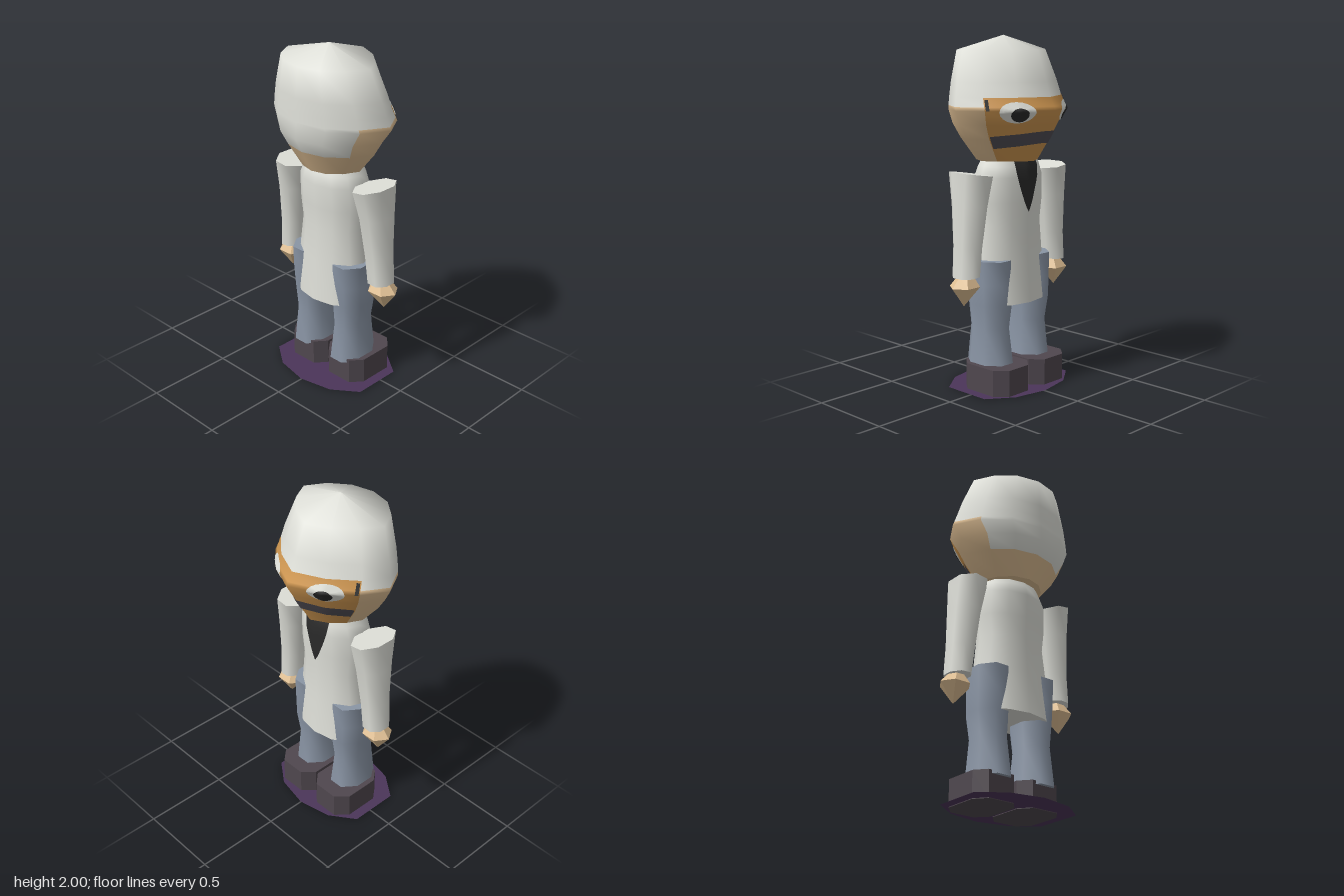
import * as THREE from 'three';

const mat = (name, color) => {
  const m = new THREE.MeshStandardMaterial({ color });
  m.name = name;
  return m;
};

// Unit cross-sections, running from the face side (-z) over +x to the back (+z)
const polygon = (n, phase = 0) => Array.from({ length: n }, (_, i) => {
  const a = ((i + phase) / n) * Math.PI * 2;
  const k = phase ? 1 / Math.cos(Math.PI / n) : 1;
  return [Math.sin(a) * k, -Math.cos(a) * k];
});
const half = [[0, -1], [0.44, -0.74], [0.8, -0.34], [1, 0.09], [0.79, 0.55], [0.44, 0.88], [0, 1]];
const headSection = [...half, ...half.slice(1, 6).reverse().map(([x, z]) => [-x, z])];
const shoeSection = [[0.55, -1], [1, -0.6], [1, 0.6], [0.6, 1], [-0.6, 1], [-1, 0.6], [-1, -0.6], [-0.55, -1]];

// Ring: [y, centre x, half width, front z, back z, tilt]
const ringPoint = ([y, cx, rx, zf, zb, tilt = 0], [sx, sz]) =>
  [cx + sx * rx, y + sx * rx * tilt, (zf + zb) / 2 + (sz * (zb - zf)) / 2];

// Closed skin through the rings; colourOf(side, row) picks the material slot
function loft(rings, section, { colourOf = () => 0, slots = 1, flat = false } = {}) {
  const n = section.length, pos = [], faces = Array.from({ length: slots }, () => []);
  rings.forEach(r => section.forEach(s => pos.push(...ringPoint(r, s))));
  for (let j = 0; j < rings.length - 1; j++) for (let i = 0; i < n; i++) {
    const a = j * n + i, b = j * n + (i + 1) % n;
    faces[colourOf(i, j)].push(a, a + n, b + n, a, b + n, b);
  }
  [[rings[0], 0], [rings[rings.length - 1], 1]].forEach(([r, top]) => {
    const c = pos.length / 3;
    pos.push(...ringPoint(r, [0, 0]));
    section.forEach(s => pos.push(...ringPoint(r, s)));
    for (let i = 0; i < n; i++) {
      const p = c + 1 + i, q = c + 1 + (i + 1) % n;
      faces[0].push(c, ...(top ? [q, p] : [p, q]));
    }
  });
  let geo = new THREE.BufferGeometry();
  geo.setAttribute('position', new THREE.Float32BufferAttribute(pos, 3));
  geo.setIndex(faces.flat());
  if (slots > 1) {
    let start = 0;
    faces.forEach((f, k) => { geo.addGroup(start, f.length, k); start += f.length; });
  }
  if (flat) geo = geo.toNonIndexed();
  geo.computeVertexNormals();
  return geo;
}

// Point on a lofted skin at side position u and height y, lifted outward
function onSkin(rings, section, u, y, lift) {
  const n = section.length, w = ((u % n) + n) % n, i = Math.floor(w), f = w - i;
  const s = section[i].map((v, k) => v + (section[(i + 1) % n][k] - v) * f);
  let j = 0;
  while (j < rings.length - 2 && rings[j + 1][0] < y) j++;
  const t = (y - rings[j][0]) / (rings[j + 1][0] - rings[j][0]);
  const r = rings[j].slice(0, 5).map((v, k) => v + (rings[j + 1][k] - v) * t);
  const [x, , z] = ringPoint(r, s), len = Math.hypot(...s);
  return [x + (s[0] / len) * lift, y, z + (s[1] / len) * lift];
}

// Painted patch: map(a, b) with a, b in 0..1 gives [u, y] on the skin
function patch(rings, section, lift, na, nb, map) {
  const pos = [], idx = [];
  for (let j = 0; j <= nb; j++) for (let i = 0; i <= na; i++)
    pos.push(...onSkin(rings, section, ...map(i / na, j / nb), lift));
  for (let j = 0; j < nb; j++) for (let i = 0; i < na; i++) {
    const a = j * (na + 1) + i, d = a + na + 1;
    idx.push(a, d, d + 1, a, d + 1, a + 1);
  }
  const geo = new THREE.BufferGeometry();
  geo.setAttribute('position', new THREE.Float32BufferAttribute(pos, 3));
  geo.setIndex(idx);
  geo.computeVertexNormals();
  return geo;
}

export function createModel() {
  const white = mat('white', 0xdedfd8), skin = mat('skin', 0xdfbf94), tan = mat('face tan', 0xce9650);
  const blue = mat('trouser blue', 0x8a95a5), shoe = mat('shoe grey', 0x4f474e);
  const black = mat('black', 0x2a2a2a), grey = mat('moustache grey', 0x504d54), purple = mat('base purple', 0x4b3559);
  [white, black, grey, purple].forEach(m => { m.side = THREE.DoubleSide; });

  const model = new THREE.Group();
  const add = (name, geo, material) => {
    const m = new THREE.Mesh(geo, material);
    m.name = name;
    model.add(m);
    return m;
  };

  // Head: face at -z, bare cheeks, hair over the top and back
  const head = [
    [1.31, 0, 0.2, -0.16, 0.215], [1.44, 0, 0.31, -0.235, 0.285], [1.52, 0, 0.36, -0.28, 0.325],
    [1.6, 0, 0.41, -0.325, 0.325], [1.62, 0, 0.405, -0.312, 0.325], [1.67, 0, 0.392, -0.282, 0.322],
    [1.75, 0, 0.37, -0.255, 0.32], [1.92, 0, 0.305, -0.19, 0.31], [2, 0, 0.001, 0.069, 0.071],
  ];
  const headColour = (i, j) => {
    const side = Math.min(i, 11 - i);
    if (side < 2) return j < 5 ? 1 : 2;
    return j < (side < 4 ? 4 : 1) ? 0 : 2;
  };
  add('head', loft(head, headSection, { colourOf: headColour, slots: 3 }), [skin, tan, white]);

  // Eyes, pupils and temple marks
  const disc = (u, y, ru, ry, lift) => patch(head, headSection, lift, 20, 5, (a, b) =>
    [u + Math.cos(a * Math.PI * 2) * ru * b, y + Math.sin(a * Math.PI * 2) * ry * b]);
  for (const s of [1, -1]) {
    add('eye', disc(s * 1.08, 1.59, 0.52, 0.058, 0.005), white);
    add('pupil', disc(s * 1.02, 1.577, 0.26, 0.038, 0.009), black);
    add('temple', patch(head, headSection, 0.004, 1, 3, (a, b) => [s * (1.86 + a * 0.1), 1.6 + b * 0.06]), black);
  }
  // Moustache arching across the face
  add('moustache', patch(head, headSection, 0.005, 16, 3, (a, b) => {
    const u = (a * 2 - 1) * 1.95;
    return [u, 1.45 - 0.015 * Math.abs(u) + (b - 0.5) * 0.07];
  }), grey);

  // Coat and pointed neck cloth
  const coat = [
    [0.5, 0, 0.25, -0.14, 0.208], [0.75, 0, 0.232, -0.12, 0.19], [0.95, 0, 0.207, -0.118, 0.18],
    [1.08, 0, 0.224, -0.125, 0.187], [1.22, 0, 0.22, -0.128, 0.195], [1.28, 0, 0.195, -0.12, 0.18],
    [1.33, 0, 0.165, -0.1, 0.155],
  ];
  const round = polygon(12);
  add('coat', loft(coat, round), white);
  add('neckCloth', patch(coat, round, 0.005, 8, 10, (a, b) =>
    [(a * 2 - 1) * 0.95 * Math.pow(b, 0.8), 1.02 + b * 0.29]), black);

  for (const s of [1, -1]) {
    // Sleeves and hands
    add('sleeve', loft([
      [0.685, s * 0.35, 0.068, -0.06, 0.1, s * -0.06], [0.85, s * 0.335, 0.073, -0.062, 0.105],
      [1.08, s * 0.317, 0.083, -0.082, 0.13], [1.25, s * 0.3, 0.092, -0.105, 0.165, s * 0.14],
    ], polygon(8, 0.5)), white);
    add('hand', loft([
      [0.52, s * 0.372, 0.002, 0.015, 0.017], [0.63, s * 0.362, 0.094, -0.066, 0.1],
      [0.69, s * 0.355, 0.045, -0.025, 0.06],
    ], polygon(6, 0).map(([x, z]) => [-z, x]), { flat: true }), skin);
    // Trouser legs, hips showing through the coat sides
    add('leg', loft([
      [0.135, s * 0.148, 0.108, -0.105, 0.175], [0.36, s * 0.15, 0.09, -0.08, 0.15],
      [0.5, s * 0.153, 0.103, -0.1, 0.16], [0.62, s * 0.158, 0.1, -0.1, 0.168],
      [0.755, s * 0.16, 0.1, -0.102, 0.172],
    ], polygon(8, 0.5)), blue);
    // Block shoes
    add('shoe', loft([[0, s * 0.147, 0.139, -0.19, 0.15], [0.155, s * 0.147, 0.139, -0.19, 0.15]],
      shoeSection, { flat: true }), shoe);
  }

  // Thin base under the feet
  const base = new THREE.Shape([[0.345, 0.145], [0.2, 0.25], [0, 0.29], [-0.2, 0.25], [-0.345, 0.145],
    [-0.345, -0.145], [-0.2, -0.25], [0, -0.29], [0.2, -0.25], [0.345, -0.145]].map(p => new THREE.Vector2(...p)));
  const ground = add('base', new THREE.ShapeGeometry(base), purple);
  ground.rotation.x = -Math.PI / 2;
  ground.position.set(0, 0.004, 0.03);

  return model;
}
